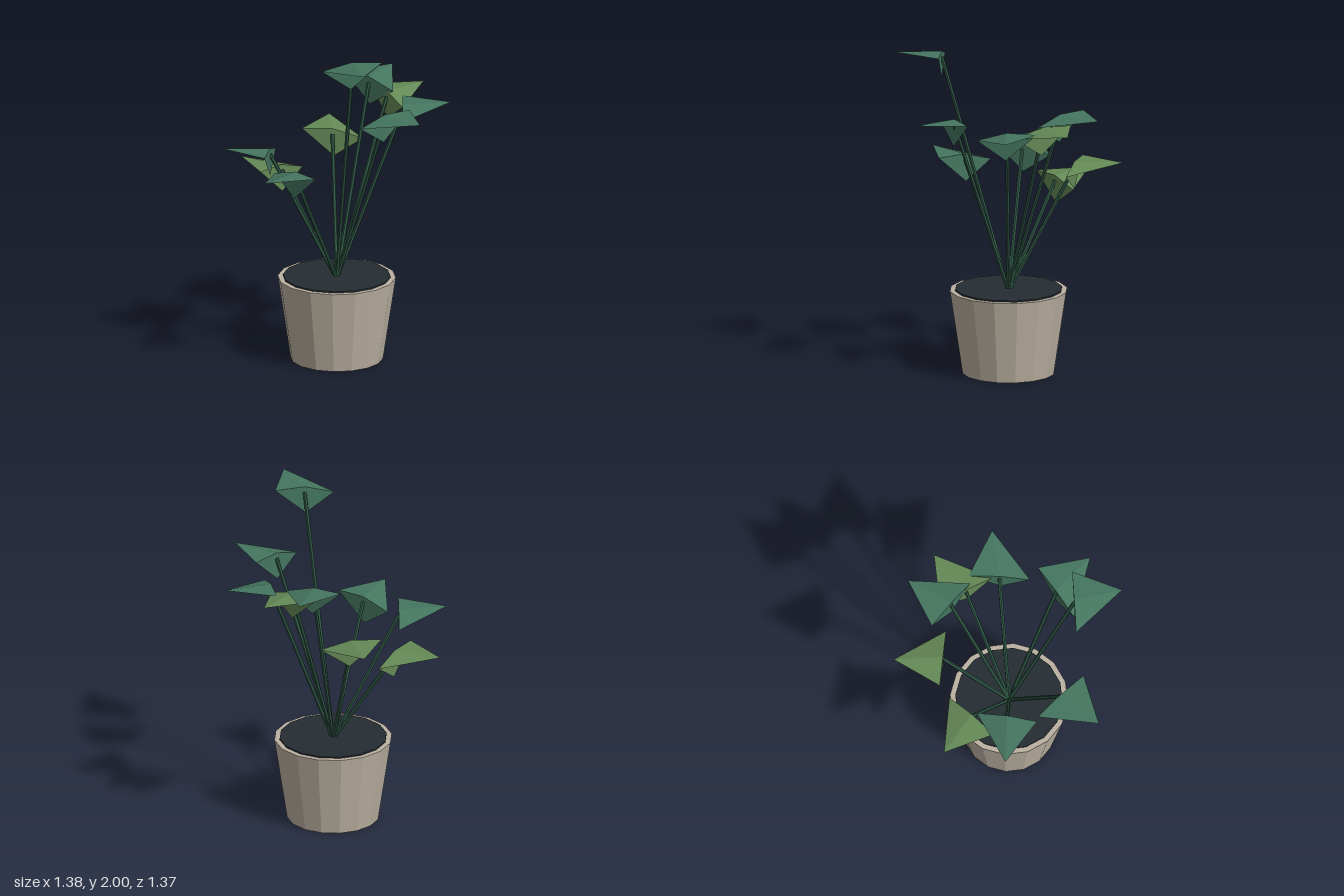
import * as THREE from 'three';

const material = (color, side = THREE.FrontSide) =>
  new THREE.MeshStandardMaterial({ color, side, flatShading: true });

const BASE = new THREE.Vector3(-0.005, 0.5, -0.015);

// Tip x, tip z, height of the ridge, light green or not
const LEAVES = [
  [-0.69, 0.11, 1.28, false],
  [0.055, 0.682, 1.63, false],
  [-0.33, 0.605, 2.0, false],
  [-0.52, -0.487, 1.32, false],
  [-0.186, -0.688, 1.15, true],
  [0.417, -0.569, 1.32, true],
  [0.65, -0.256, 1.665, false],
  [0.69, -0.015, 1.605, true],
  [0.585, 0.357, 1.585, false],
];

// Folded leaf: ridge running along +z to the tip, with a flap hanging at the stem
function leafGeometry() {
  const ridge = [0, 0, 0];
  const tip = [0, 0, 0.297];
  const low = [-0.183, -0.055, -0.03];
  const high = [0.183, -0.004, 0.03];
  const drop = [-0.008, -0.172, 0];
  const faces = [
    [ridge, low, tip],
    [ridge, tip, high],
    [ridge, drop, low],
    [ridge, high, drop],
  ];
  const geometry = new THREE.BufferGeometry();
  geometry.setAttribute('position', new THREE.Float32BufferAttribute(faces.flat(2), 3));
  geometry.computeVertexNormals();
  return geometry;
}

// Thin rod between two points
function rod(from, to, radius, mat) {
  const direction = to.clone().sub(from);
  const mesh = new THREE.Mesh(new THREE.CylinderGeometry(radius, radius, direction.length(), 6), mat);
  mesh.position.copy(from).add(to).multiplyScalar(0.5);
  mesh.quaternion.setFromUnitVectors(new THREE.Vector3(0, 1, 0), direction.normalize());
  return mesh;
}

export function createModel() {
  const model = new THREE.Group();
  model.name = 'pottedPlant';

  // Tapered pot and the soil, just proud of the rim
  const pot = new THREE.Mesh(new THREE.CylinderGeometry(0.357, 0.28, 0.513, 16), material(0xbcb2a2));
  pot.name = 'pot';
  pot.position.set(BASE.x, 0.2565, BASE.z);
  const soil = new THREE.Mesh(new THREE.CylinderGeometry(0.325, 0.325, 0.04, 16), material(0x252c33));
  soil.name = 'soil';
  soil.position.set(BASE.x, 0.502, BASE.z);
  model.add(pot, soil);

  // Stems fanning out from the middle, each with one leaf
  const geometry = leafGeometry();
  const darkGreen = material(0x457660, THREE.DoubleSide);
  const lightGreen = material(0x658a57, THREE.DoubleSide);
  const stemGreen = material(0x315a48);
  LEAVES.forEach(([x, z, height, light], i) => {
    const yaw = Math.atan2(x - BASE.x, z - BASE.z);
    const reach = Math.hypot(x - BASE.x, z - BASE.z) - 0.297;
    const joint = new THREE.Vector3(
      BASE.x + Math.sin(yaw) * reach, height, BASE.z + Math.cos(yaw) * reach);

    const leaf = new THREE.Mesh(geometry, light ? lightGreen : darkGreen);
    leaf.name = `leaf${i + 1}`;
    leaf.position.copy(joint);
    leaf.rotation.y = yaw;

    const end = joint.clone().add(new THREE.Vector3(0, -0.035, 0));
    const stem = rod(BASE, end, 0.012, stemGreen);
    stem.name = `stem${i + 1}`;
    model.add(stem, leaf);
  });

  return model;
}
